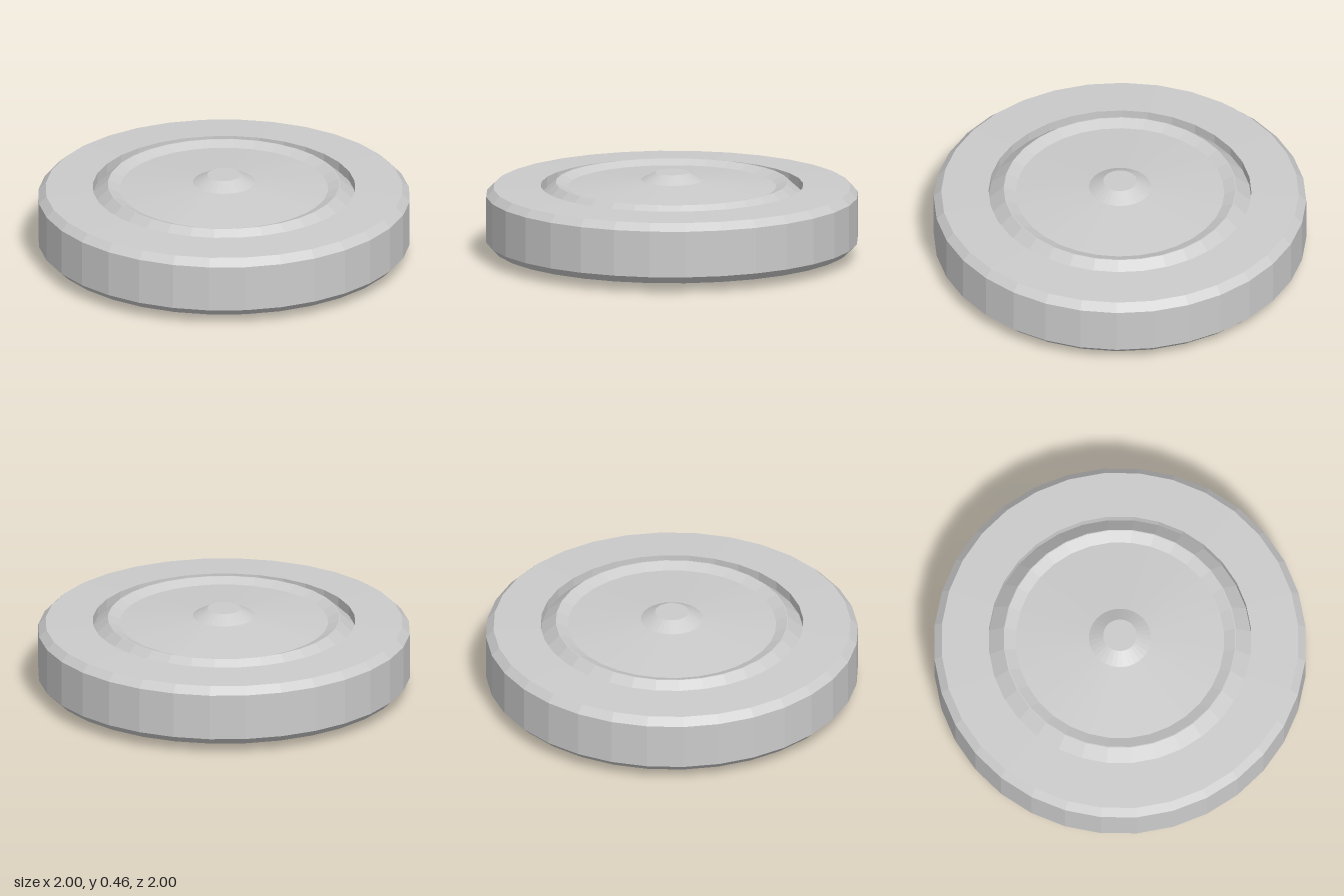
import * as THREE from 'three';

const SIDES = 32;

// Revolve a [radius, height] profile, listed from the bottom, outwards, then back in at the top
function revolve(name, profile, material) {
  const points = profile.map(([r, y]) => new THREE.Vector2(r, y));
  const mesh = new THREE.Mesh(new THREE.LatheGeometry(points, SIDES), material);
  mesh.name = name;
  return mesh;
}

export function createModel() {
  const group = new THREE.Group();
  group.name = 'wheel';
  const material = new THREE.MeshStandardMaterial({ color: 0xcccccc, flatShading: true });

  // Round recess in the underside
  group.add(revolve('bottomRecess', [[0, 0.33], [0.5, 0.33], [0.5, 0]], material));

  // Outer ring: sloped underside, chamfered rim and the wall of the groove
  group.add(revolve('outerRing', [
    [0.5, 0], [0.72, 0.04], [0.96, 0.05], [1, 0.09],
    [1, 0.34], [0.96, 0.38], [0.706, 0.39], [0.706, 0.335],
  ], material));

  // Raised lip and shallow dish inside the groove
  group.add(revolve('dish', [
    [0.706, 0.335], [0.625, 0.408], [0.62, 0.408], [0.56, 0.383], [0.167, 0.42],
  ], material));

  // Small hub at the centre
  group.add(revolve('hub', [[0.167, 0.42], [0.09, 0.462], [0, 0.462]], material));

  return group;
}
